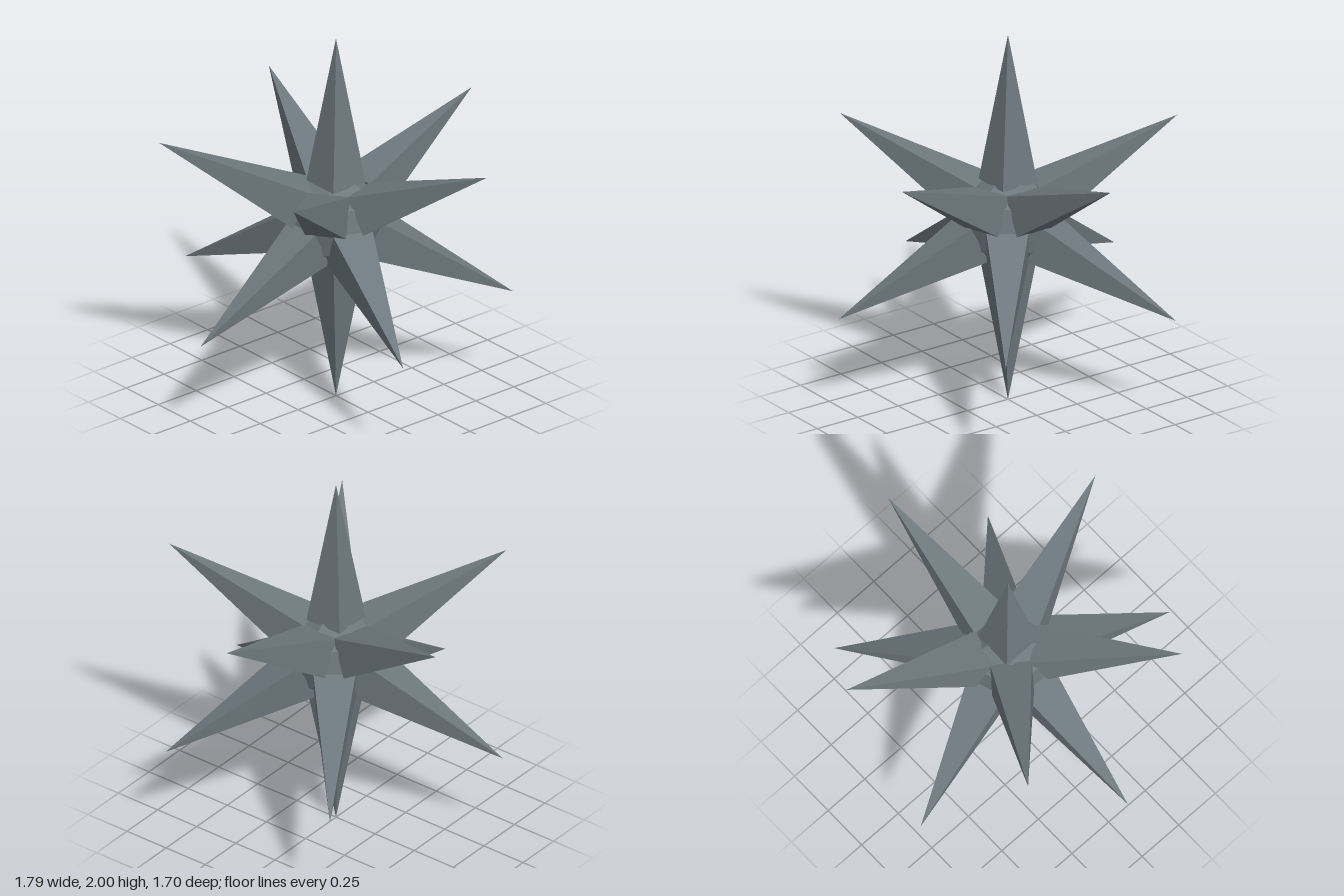
import * as THREE from 'three';
import { ConvexGeometry } from 'three/addons/geometries/ConvexGeometry.js';

export function createModel() {
  const model = new THREE.Group();
  model.name = 'spikedStar';
  const slate = new THREE.MeshStandardMaterial({ color: 0x6d787e });
  slate.name = 'slate grey';

  // Square pyramid from 0.2 to 1 along +y, with faceted normals
  const spikeGeometry = new THREE.ConeGeometry(0.15, 0.8, 4)
    .rotateY(Math.PI / 4)
    .translate(0, 0.6, 0)
    .toNonIndexed();
  spikeGeometry.computeVertexNormals();

  const corePoints = [];
  function addSpike(name, polar, azimuth) {
    const spike = new THREE.Mesh(spikeGeometry, slate);
    spike.name = name;
    spike.position.y = 1;
    // lean away from vertical, then turn about the vertical axis
    spike.rotation.set(0, -azimuth, -polar, 'YXZ');
    model.add(spike);
    corePoints.push(new THREE.Vector3(0, 0.28, 0).applyEuler(spike.rotation));
  }

  // Twelve spikes: top, bottom and two staggered rings of five
  const lean = Math.atan(2);
  addSpike('topSpike', 0, 0);
  addSpike('bottomSpike', Math.PI, 0);
  for (let i = 0; i < 5; i++) {
    const turn = (i * 2 * Math.PI) / 5;
    addSpike('upperSpike' + (i + 1), lean, turn);
    addSpike('lowerSpike' + (i + 1), Math.PI - lean, turn + Math.PI / 5);
  }

  // Twenty-sided core with a corner under every spike
  const core = new THREE.Mesh(new ConvexGeometry(corePoints), slate);
  core.name = 'core';
  core.position.y = 1;
  model.add(core);

  return model;
}
